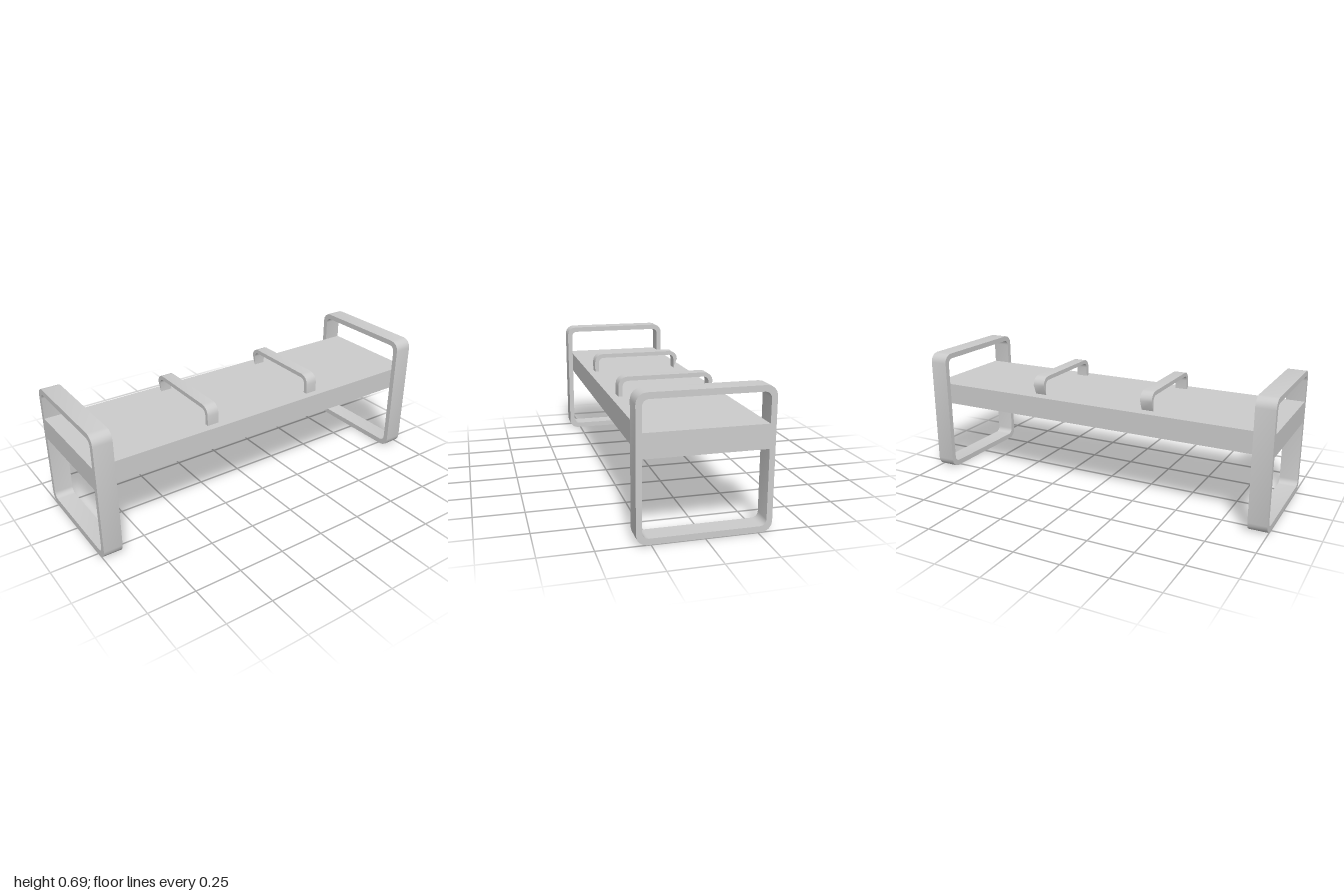
import * as THREE from 'three';
import { toCreasedNormals } from 'three/addons/utils/BufferGeometryUtils.js';

const material = new THREE.MeshStandardMaterial({ color: 0xcccccc });

// Closed rectangle with rounded corners, centred on the depth axis
function roundedLoop(path, half, y0, y1, r) {
  const q = Math.PI / 2;
  path.absarc(half - r, y0 + r, r, -q, 0, false);
  path.absarc(half - r, y1 - r, r, 0, q, false);
  path.absarc(-half + r, y1 - r, r, q, 2 * q, false);
  path.absarc(-half + r, y0 + r, r, 2 * q, 3 * q, false);
  path.closePath();
  return path;
}

// Arch run: up one side, over two rounded corners, down the other
function archShape(outer, inner, y0, yOuter, yInner, rOuter, rInner) {
  const q = Math.PI / 2;
  const s = new THREE.Shape();
  s.moveTo(outer, y0);
  s.absarc(outer - rOuter, yOuter - rOuter, rOuter, 0, q, false);
  s.absarc(-outer + rOuter, yOuter - rOuter, rOuter, q, 2 * q, false);
  s.lineTo(-outer, y0);
  s.lineTo(-inner, y0);
  s.absarc(-inner + rInner, yInner - rInner, rInner, 2 * q, q, true);
  s.absarc(inner - rInner, yInner - rInner, rInner, q, 0, true);
  s.lineTo(inner, y0);
  s.closePath();
  return s;
}

// Extrude a side profile along x, centred at the given x
function addProfile(group, name, shape, width, x) {
  const geo = new THREE.ExtrudeGeometry(shape, { depth: width, bevelEnabled: false, curveSegments: 2 });
  geo.translate(0, 0, -width / 2);
  geo.rotateY(Math.PI / 2);
  const mesh = new THREE.Mesh(toCreasedNormals(geo, THREE.MathUtils.degToRad(50)), material);
  mesh.name = name;
  mesh.position.x = x;
  group.add(mesh);
}

export function createModel() {
  const group = new THREE.Group();
  group.name = 'bench';

  // Seat slab, ending flush with the outside of the frames
  const seat = new THREE.Mesh(new THREE.BoxGeometry(2, 0.116, 0.58), material);
  seat.name = 'seat';
  seat.position.y = 0.453;
  group.add(seat);

  // Rounded end frames that act as legs and armrests
  const frame = roundedLoop(new THREE.Shape(), 0.318, 0, 0.685, 0.05);
  frame.holes.push(roundedLoop(new THREE.Path(), 0.29, 0.03, 0.656, 0.03));

  // Low arched dividers on the seat
  const divider = archShape(0.25, 0.228, 0.51, 0.612, 0.59, 0.048, 0.028);

  for (const [side, sign] of [['left', 1], ['right', -1]]) {
    addProfile(group, side + 'EndFrame', frame, 0.1, sign * 0.95);
    addProfile(group, side + 'Divider', divider, 0.065, sign * 0.32);
  }
  return group;
}
